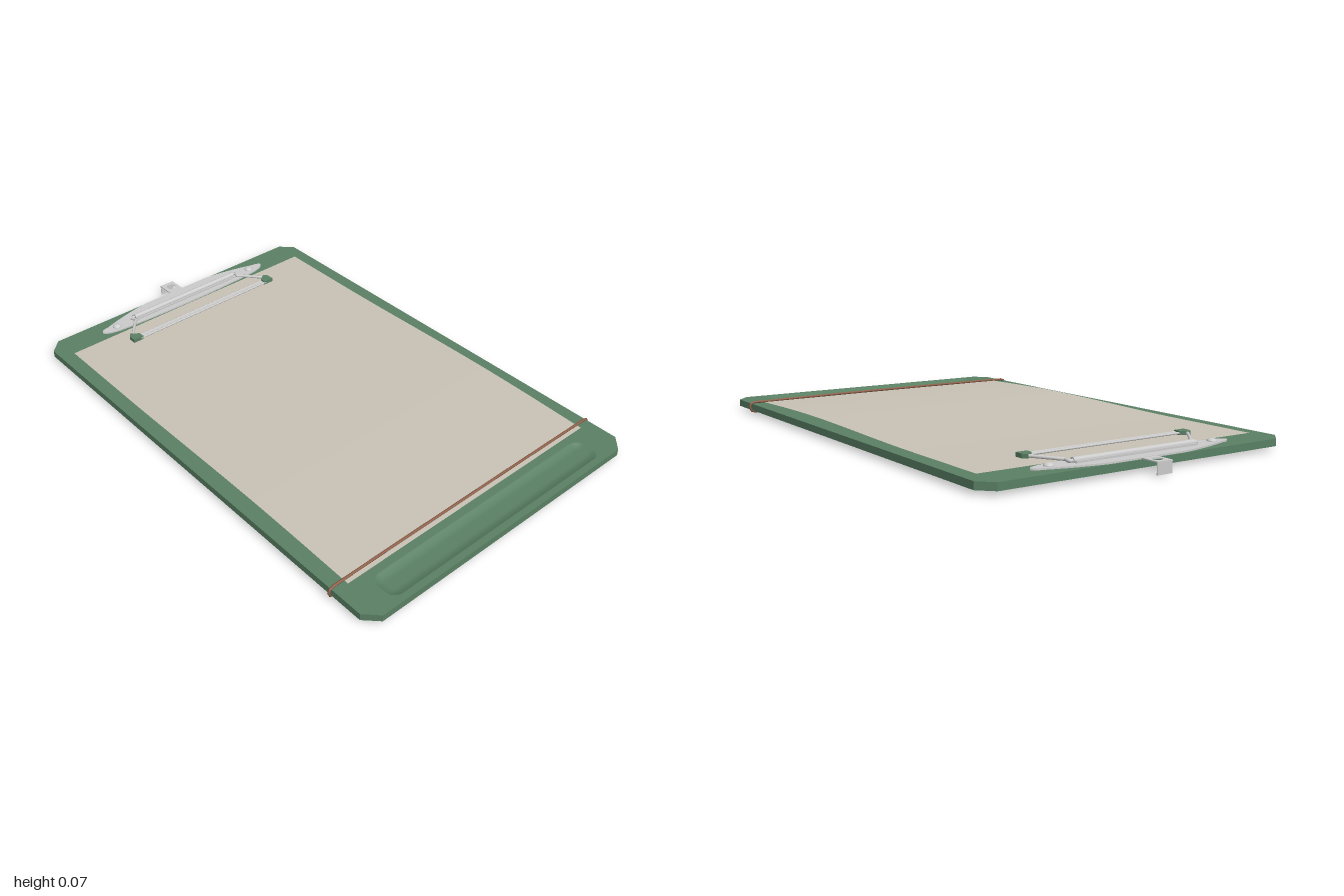
import * as THREE from 'three';

const mat = (color, extra = {}) => new THREE.MeshStandardMaterial({ color, ...extra });
const green = mat(0x5a8064, { flatShading: true });
const greenSoft = mat(0x5a8064, { side: THREE.DoubleSide });
const metal = mat(0xcccccc);
const paperMat = mat(0xc9c2b6, { side: THREE.DoubleSide });
const brown = mat(0x8e5f48);

const V = (x, y, z) => new THREE.Vector3(x, y, z);
const outline = (pts) => new THREE.Shape(pts.map(([x, z]) => new THREE.Vector2(x, z)));

// Flat slab from an outline in (x, z), hanging down from the given top height
function slab(shape, top, thickness) {
  const g = new THREE.ExtrudeGeometry(shape, { depth: thickness, bevelEnabled: false, curveSegments: 16 });
  return g.rotateX(Math.PI / 2).translate(0, top, 0);
}

// Rounded rectangle as a loop of points in (x, z)
function roundedLoop(hx, hz, r, cz) {
  const pts = [];
  for (let q = 0; q < 4; q++) {
    const sx = q === 0 || q === 3 ? 1 : -1, sz = q < 2 ? 1 : -1;
    for (let i = 0; i <= 6; i++) {
      const a = (q + i / 6) * Math.PI / 2;
      pts.push([sx * (hx - r) + r * Math.cos(a), cz + sz * (hz - r) + r * Math.sin(a)]);
    }
  }
  return pts;
}

export function createModel() {
  const root = new THREE.Group();
  const add = (name, geometry, material, parent = root) => {
    const m = new THREE.Mesh(geometry, material);
    m.name = name;
    parent.add(m);
    return m;
  };

  // Board with cut corners; the upper layer is opened for the pen groove
  const TOP = 0.042, BOTTOM = 0.015, FLOOR = 0.03;
  const corners = [[-0.59, -0.93], [0.59, -0.93], [0.64, -0.88], [0.64, 0.95],
    [0.59, 1], [-0.59, 1], [-0.64, 0.95], [-0.64, -0.88]];
  const upper = outline(corners);
  upper.holes.push(outline(roundedLoop(0.52, 0.055, 0.04, 0.92)));
  add('boardUpper', slab(upper, TOP, TOP - FLOOR), green);
  add('boardLower', slab(outline(corners), FLOOR, FLOOR - BOTTOM), green);

  // Pen groove: shrinking rings that curve down to a flat floor
  const rings = 5, pos = [], idx = [];
  let n = 0;
  for (let k = 0; k <= rings; k++) {
    const t = k / rings, inset = 0.035 * t;
    const loop = roundedLoop(0.52 - inset, 0.055 - inset, 0.04 - inset, 0.92);
    n = loop.length;
    const y = TOP - 0.011 * Math.sin(t * Math.PI / 2);
    loop.forEach(([x, z]) => pos.push(x, y, z));
  }
  for (let k = 0; k < rings; k++) {
    for (let i = 0; i < n; i++) {
      const a = k * n + i, b = k * n + (i + 1) % n;
      idx.push(a, a + n, b, b, a + n, b + n);
    }
  }
  for (let i = 1; i < n - 1; i++) idx.push(rings * n, rings * n + i + 1, rings * n + i);
  const groove = new THREE.BufferGeometry();
  groove.setAttribute('position', new THREE.Float32BufferAttribute(pos, 3));
  groove.setIndex(idx);
  groove.computeVertexNormals();
  add('penGroove', groove, greenSoft);

  // Sheet of paper, lifted in a soft wave towards the front
  const paper = new THREE.PlaneGeometry(1.17, 1.645, 12, 40).rotateX(-Math.PI / 2).translate(0, 0, 0.0125);
  const p = paper.attributes.position;
  for (let i = 0; i < p.count; i++) {
    const s = THREE.MathUtils.clamp((p.getZ(i) + 0.4) / 1.235, 0, 1);
    p.setY(i, 0.044 + 0.01 * Math.sin(Math.PI * Math.pow(s, 1.3)) ** 1.2);
  }
  paper.computeVertexNormals();
  add('paper', paper, paperMat);

  // Elastic band wrapped around the board
  const side = [[0, 0.05], [0.3, 0.0495], [0.58, 0.0475], [0.637, 0.0455], [0.646, 0.038],
    [0.646, 0.018], [0.637, 0.0105], [0.58, 0.009], [0.3, 0.007], [0, 0.005]];
  const loop = [...side, ...side.slice(1, -1).reverse().map(([x, y]) => [-x, y])];
  const band = new THREE.CatmullRomCurve3(loop.map(([x, y]) => V(x, y, 0.815)), true, 'centripetal');
  add('elasticBand', new THREE.TubeGeometry(band, 160, 0.005, 8, true), brown);

  const clip = new THREE.Group();
  clip.name = 'clip';
  root.add(clip);

  // Base plate of the clip, pointed at both ends
  const plate = new THREE.Shape();
  plate.moveTo(-0.42, -0.857);
  plate.quadraticCurveTo(-0.415, -0.872, -0.385, -0.874);
  plate.quadraticCurveTo(-0.26, -0.915, -0.155, -0.925);
  plate.lineTo(0.155, -0.925);
  plate.quadraticCurveTo(0.26, -0.915, 0.385, -0.874);
  plate.quadraticCurveTo(0.415, -0.872, 0.42, -0.857);
  plate.quadraticCurveTo(0.41, -0.83, 0.32, -0.824);
  plate.quadraticCurveTo(0, -0.805, -0.32, -0.824);
  plate.quadraticCurveTo(-0.41, -0.83, -0.42, -0.857);
  add('clipPlate', slab(plate, 0.048, 0.006), metal, clip);

  // Hanging tab with a hole, folded down at its end
  const tab = outline([[-0.032, -1], [0.032, -1], [0.032, -0.92], [-0.032, -0.92]]);
  tab.holes.push(new THREE.Path().absarc(0, -0.965, 0.018, 0, Math.PI * 2, true));
  add('hangingTab', slab(tab, 0.047, 0.004), metal, clip);
  add('tabFlap', new THREE.BoxGeometry(0.064, 0.042, 0.003).translate(0, 0.024, -0.9985), metal, clip);

  // Spring tube and the strips that hold it
  add('springTube', new THREE.CylinderGeometry(0.011, 0.011, 0.52, 16).rotateZ(Math.PI / 2)
    .translate(0, 0.054, -0.86), metal, clip);
  for (const z of [-0.878, -0.842]) {
    add('springStrip', new THREE.BoxGeometry(0.52, 0.008, 0.006).translate(0, 0.051, z), metal, clip);
  }

  // Press bar that holds the sheet
  for (const z of [-0.726, -0.706]) {
    add('pressBarEdge', new THREE.CylinderGeometry(0.004, 0.004, 0.66, 8).rotateZ(Math.PI / 2)
      .translate(0, 0.058, z), metal, clip);
  }
  add('pressBar', new THREE.BoxGeometry(0.66, 0.005, 0.018).translate(0, 0.058, -0.716), metal, clip);

  // Rivets, wire arms and end caps, mirrored
  for (const s of [1, -1]) {
    add('rivet', new THREE.SphereGeometry(0.018, 16, 8, 0, Math.PI * 2, 0, Math.PI / 2)
      .scale(1, 0.6, 1).translate(s * 0.35, 0.048, -0.857), metal, clip);
    const arm = new THREE.CurvePath();
    const pts = [[0.25, 0.054, -0.862], [0.277, 0.054, -0.862], [0.268, 0.055, -0.836],
      [0.285, 0.056, -0.82], [0.35, 0.059, -0.738]].map(([x, y, z]) => V(s * x, y, z));
    for (let i = 1; i < pts.length; i++) arm.add(new THREE.LineCurve3(pts[i - 1], pts[i]));
    add('wireArm', new THREE.TubeGeometry(arm, 40, 0.006, 8), metal, clip);
    const cap = outline([[0.32, -0.703], [0.365, -0.703], [0.365, -0.735], [0.352, -0.752], [0.32, -0.728]]
      .map(([x, z]) => [s * x, z]));
    add('endCap', slab(cap, 0.066, 0.015), green, clip);
  }

  return root;
}
